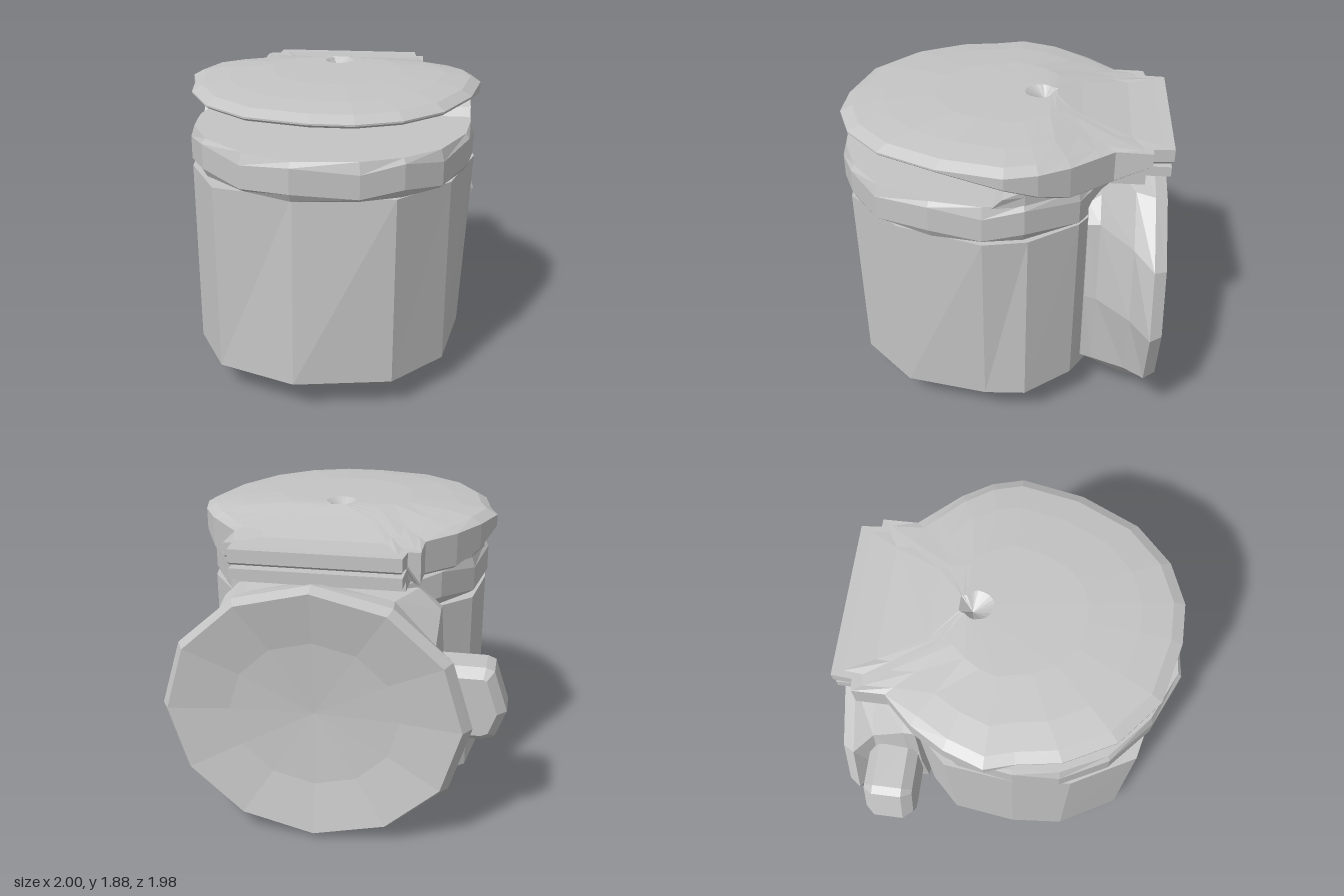
import * as THREE from 'three';

// Skin between closed loops of [x,y,z] points, with fan caps to two end points.
function loft(loops, startTip, endTip) {
  const pos = [];
  const tri = (a, b, c) => pos.push(...a, ...b, ...c);
  const n = loops[0].length;
  for (let i = 0; i < n; i++) {
    const j = (i + 1) % n;
    tri(startTip, loops[0][j], loops[0][i]);
    for (let k = 0; k < loops.length - 1; k++) {
      const a = loops[k], b = loops[k + 1];
      tri(a[i], a[j], b[j]);
      tri(a[i], b[j], b[i]);
    }
    const last = loops[loops.length - 1];
    tri(endTip, last[i], last[j]);
  }
  const g = new THREE.BufferGeometry();
  g.setAttribute('position', new THREE.Float32BufferAttribute(pos, 3));
  g.computeVertexNormals();
  return g;
}

// Scale a plan outline [x,z] about (cx,cz); yFn gives height from scaled z, index and outline z.
const planLoop = (outline, s, cx, cz, yFn) => outline.map(([x, z], i) => {
  const pz = cz + (z - cz) * s;
  return [cx + (x - cx) * s, yFn(pz, i, z), pz];
});

const ramp = (v, a, b) => Math.min(1, Math.max(0, (v - a) / (b - a)));
const signedPow = (v, p) => Math.sign(v) * Math.abs(v) ** p;

export function createModel() {
  const model = new THREE.Group();
  const grey = new THREE.MeshStandardMaterial({ color: 0xc4c4c4, flatShading: true, side: THREE.DoubleSide });
  grey.name = 'plain grey';
  const add = (name, geometry) => {
    const m = new THREE.Mesh(geometry, grey);
    m.name = name;
    model.add(m);
    return m;
  };
  const box = (name, x0, x1, y0, y1, z0, z1) =>
    add(name, new THREE.BoxGeometry(x1 - x0, y1 - y0, z1 - z0))
      .position.set((x0 + x1) / 2, (y0 + y1) / 2, (z0 + z1) / 2);

  // Pot body: uneven polygon with a broad front and a rough underside
  const topPlan = [
    [0.93, 0.05], [0.88, -0.2], [0.68, -0.48], [0.4, -0.66], [-0.3, -0.66], [-0.57, -0.52], [-0.75, -0.33],
    [-0.8, 0.08], [-0.77, 0.42], [-0.57, 0.79], [-0.1, 0.9], [0.48, 0.87], [0.78, 0.55],
  ];
  const basePlan = topPlan.map(([x, z], i) => (i === 10 ? [-0.1, 0.95] : [Math.min(x, 0.88), z * 0.98]));
  const baseLoop = (s, yFn) => planLoop(basePlan, s, 0.065, 0.07, yFn);
  add('potBody', loft([
    baseLoop(0.35, (z, i) => 0.22 + 0.02 * (i % 2)),
    baseLoop(0.55, (z, i) => 0.18 + 0.04 * (i % 3 === 0)),
    baseLoop(0.82, (z, i) => 0.18 + 0.03 * (i % 2)),
    baseLoop(1, (z) => 0.2 + 0.05 * ramp(z, 0.3, -0.6)),
    planLoop(topPlan, 1, 0.065, 0.07, () => 1.37),
  ], [0.065, 0.21, 0.07], [0.065, 1.37, 0.07]));

  // Collar around the mouth
  const collarPlan = [
    [0.92, 0.05], [0.88, -0.18], [0.69, -0.48], [0.45, -0.64], [-0.4, -0.64], [-0.58, -0.5], [-0.75, -0.25],
    [-0.81, 0.08], [-0.79, 0.35], [-0.66, 0.62], [-0.4, 0.85], [-0.1, 0.99], [0.28, 0.95], [0.52, 0.85],
    [0.73, 0.67], [0.88, 0.35],
  ];
  const collarLoop = (s, yFn) => planLoop(collarPlan, s, 0.06, 0.08, yFn);
  add('collar', loft([
    collarLoop(0.97, () => 1.37),
    collarLoop(1, (z, i) => 1.39 + 0.03 * (i % 2)),
    collarLoop(1, (z, i) => 1.53 + 0.04 * (i % 2)),
    collarLoop(0.975, () => 1.6),
  ], [0.06, 1.37, 0.08], [0.06, 1.6, 0.08]));

  // Raised rear deck with a sloping front step
  const deckLoop = (front, y) => collarPlan.map(([x, z]) => [0.06 + (x - 0.06) * 0.975, y, Math.min(z, front)]);
  add('rearDeck', loft([deckLoop(0, 1.59), deckLoop(-0.06, 1.65), deckLoop(-0.14, 1.69)],
    [0.06, 1.59, -0.35], [0.06, 1.69, -0.35]));

  // Lid with a squared tongue at the back and a small notch on top
  const lidPlan = [
    [0.95, -0.07], [0.9, -0.25], [0.8, -0.42], [0.66, -0.58], [0.59, -0.66], [0.59, -0.87],
    [0.54, -0.87], [0.53, -0.99], [-0.42, -0.99], [-0.43, -0.87], [-0.5, -0.86], [-0.5, -0.67],
    [-0.66, -0.5], [-0.78, -0.3], [-0.86, -0.07], [-0.81, 0.1], [-0.77, 0.35], [-0.62, 0.64],
    [-0.36, 0.86], [0, 0.95], [0.25, 0.95], [0.5, 0.85], [0.72, 0.64], [0.88, 0.3],
  ];
  const lidUnder = (z) => (z < -0.865 ? 1.7 : 1.785 - 0.185 * ramp(z, 0.1, -0.45));
  const lidTop = (y) => (z) => y - (y - 1.79) * ramp(z, -0.3, -0.8);
  const lidLoop = (s, yFn, cz = -0.05) => planLoop(lidPlan, s, 0.06, cz, yFn);
  add('lid', loft([
    lidLoop(0.3, lidUnder),
    lidLoop(0.6, lidUnder),
    lidLoop(0.9, (pz, i, z) => lidUnder(z)),
    lidLoop(0.98, (pz, i, z) => lidUnder(z)),
    lidLoop(1, (pz, i, z) => lidUnder(z) + 0.015),
    lidLoop(1, lidTop(1.81)),
    lidLoop(0.93, lidTop(1.845)),
    lidLoop(0.75, lidTop(1.868)),
    lidLoop(0.45, lidTop(1.888)),
    lidLoop(0.1, () => 1.893, -0.25),
  ], [0.06, 1.74, -0.05], [0.04, 1.83, -0.25]));

  // Hinge under the tongue
  box('hingeBlock', -0.42, 0.53, 1.56, 1.68, -0.84, -0.5);
  box('hingeLedge', -0.42, 0.53, 1.62, 1.68, -0.98, -0.8);

  // Upright drum on the back: squarish in front, flaring to a rim around a shallow dish
  const drumSections = [ // z, centre x, centre y, radius x, radius y, squareness power
    [-0.53, 0.05, 0.89, 0.67, 0.6, 0.3],
    [-0.6, 0.05, 0.88, 0.68, 0.66, 0.4],
    [-0.8, 0.07, 0.79, 0.74, 0.78, 0.8],
    [-0.91, 0.09, 0.8, 0.91, 0.79, 1],
    [-0.98, 0.09, 0.8, 0.86, 0.76, 1],
    [-0.92, 0.09, 0.8, 0.5, 0.45, 1],
  ];
  add('backDrum', loft(drumSections.map(([z, cx, cy, rx, ry, p]) =>
    Array.from({ length: 12 }, (_, i) => {
      const a = (i / 12) * Math.PI * 2;
      return [cx - rx * signedPow(Math.cos(a), p), cy + ry * signedPow(Math.sin(a), p), z];
    })), [0.05, 0.89, -0.53], [0.09, 0.8, -0.89]));

  // Little foot below the drum
  const foot = new THREE.CylinderGeometry(0.15, 0.1, 0.15, 7);
  foot.scale(1, 1, 0.8);
  add('drumFoot', foot).position.set(0.06, 0.095, -0.71);

  // Side handle: a chunky bracket with a finger hole
  const points = (list) => list.map((p) => new THREE.Vector2(...p));
  const s = new THREE.Shape(points([
    [-0.58, 0.67], [-0.87, 0.67], [-0.94, 0.7], [-1, 0.86], [-0.92, 1.1], [-0.87, 1.12], [-0.58, 1.12],
  ]));
  s.holes.push(new THREE.Path(points([[-0.66, 0.8], [-0.66, 1], [-0.77, 1], [-0.77, 0.8]])));
  const handle = new THREE.ExtrudeGeometry(s, {
    depth: 0.18, bevelEnabled: true, bevelThickness: 0.06, bevelSize: 0.05, bevelOffset: -0.05, bevelSegments: 1,
  });
  add('sideHandle', handle).position.z = -0.775;

  return model;
}
